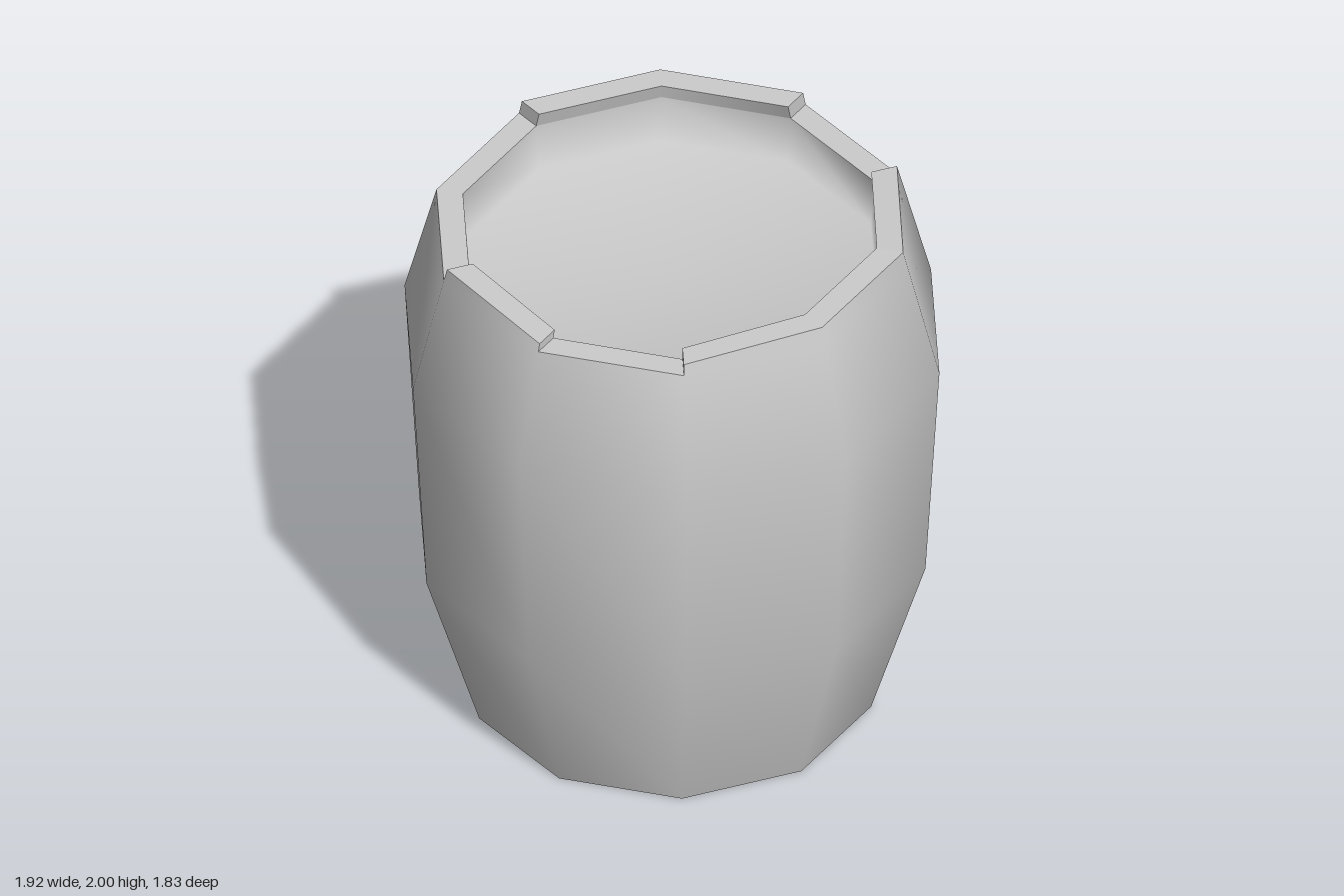
import * as THREE from 'three';

const SIDES = 10, STEP = Math.PI * 2 / SIDES, START = -STEP / 2;
const LOW = 1.94, FLOOR = 1.76;
const outerR = y => 0.96 - 0.26 * (y - 1.5);
const innerR = y => outerR(y) - 0.095;
// Height at both ends of each rim piece, from the front round by the left; null is a broken-off gap
const RIM = [[1.985, 1.97], null, [1.98, 2], [2, 2], [2, 1.985], null, [2, 2], [2, 2], null, null];

const at = (radius, y, phi) => [radius(y) * Math.sin(phi), y, radius(y) * Math.cos(phi)];

export function createModel() {
  const group = new THREE.Group();
  const material = new THREE.MeshStandardMaterial({ color: 0xcccccc });
  const add = (name, geometry) => {
    const mesh = new THREE.Mesh(geometry, material);
    mesh.name = name;
    group.add(mesh);
    return mesh;
  };
  const lathe = points =>
    new THREE.LatheGeometry(points.map(p => new THREE.Vector2(...p)), SIDES, START);

  // Bulging outer wall
  add('outerWall', lathe([[0.715, 0], [0.91, 0.64], [0.96, 1.5], [outerR(LOW), LOW]]));

  // Shallow hollow: inner wall and floor in one smooth surface
  add('innerWallAndFloor', lathe([[innerR(LOW), LOW], [0.737, FLOOR], [0, FLOOR]]));

  // Flat underside, its corners lined up with the wall
  const base = add('base', new THREE.CircleGeometry(0.715, SIDES));
  base.rotation.x = Math.PI / 2;

  // Jagged rim
  const positions = [], normals = [];
  const quad = (corners, cornerNormals) => {
    const v = corners.map(c => new THREE.Vector3(...c));
    const flat = new THREE.Vector3().crossVectors(v[2].clone().sub(v[0]), v[3].clone().sub(v[1])).normalize();
    for (const i of [0, 1, 2, 0, 2, 3]) {
      positions.push(...corners[i]);
      normals.push(...(cornerNormals ? cornerNormals[i] : flat.toArray()));
    }
  };
  RIM.forEach((piece, k) => {
    const a = START + k * STEP, b = a + STEP;
    const [ha, hb] = piece ?? [LOW, LOW];
    quad([at(outerR, ha, a), at(outerR, hb, b), at(innerR, hb, b), at(innerR, ha, a)]);
    if (!piece) return;
    // Outer face continues the smooth wall, inner face the hollow
    const smooth = (phi, s) =>
      new THREE.Vector3(s * Math.sin(phi), s * 0.26, s * Math.cos(phi)).normalize().toArray();
    quad([at(outerR, LOW, a), at(outerR, LOW, b), at(outerR, hb, b), at(outerR, ha, a)],
      [smooth(a, 1), smooth(b, 1), smooth(b, 1), smooth(a, 1)]);
    quad([at(innerR, LOW, b), at(innerR, LOW, a), at(innerR, ha, a), at(innerR, hb, b)],
      [smooth(b, -1), smooth(a, -1), smooth(a, -1), smooth(b, -1)]);
    // Ends facing a gap
    if (!RIM[(k + SIDES - 1) % SIDES])
      quad([at(innerR, LOW, a), at(outerR, LOW, a), at(outerR, ha, a), at(innerR, ha, a)]);
    if (!RIM[(k + 1) % SIDES])
      quad([at(outerR, LOW, b), at(innerR, LOW, b), at(innerR, hb, b), at(outerR, hb, b)]);
  });
  const rim = new THREE.BufferGeometry();
  rim.setAttribute('position', new THREE.Float32BufferAttribute(positions, 3));
  rim.setAttribute('normal', new THREE.Float32BufferAttribute(normals, 3));
  add('jaggedRim', rim);

  return group;
}
